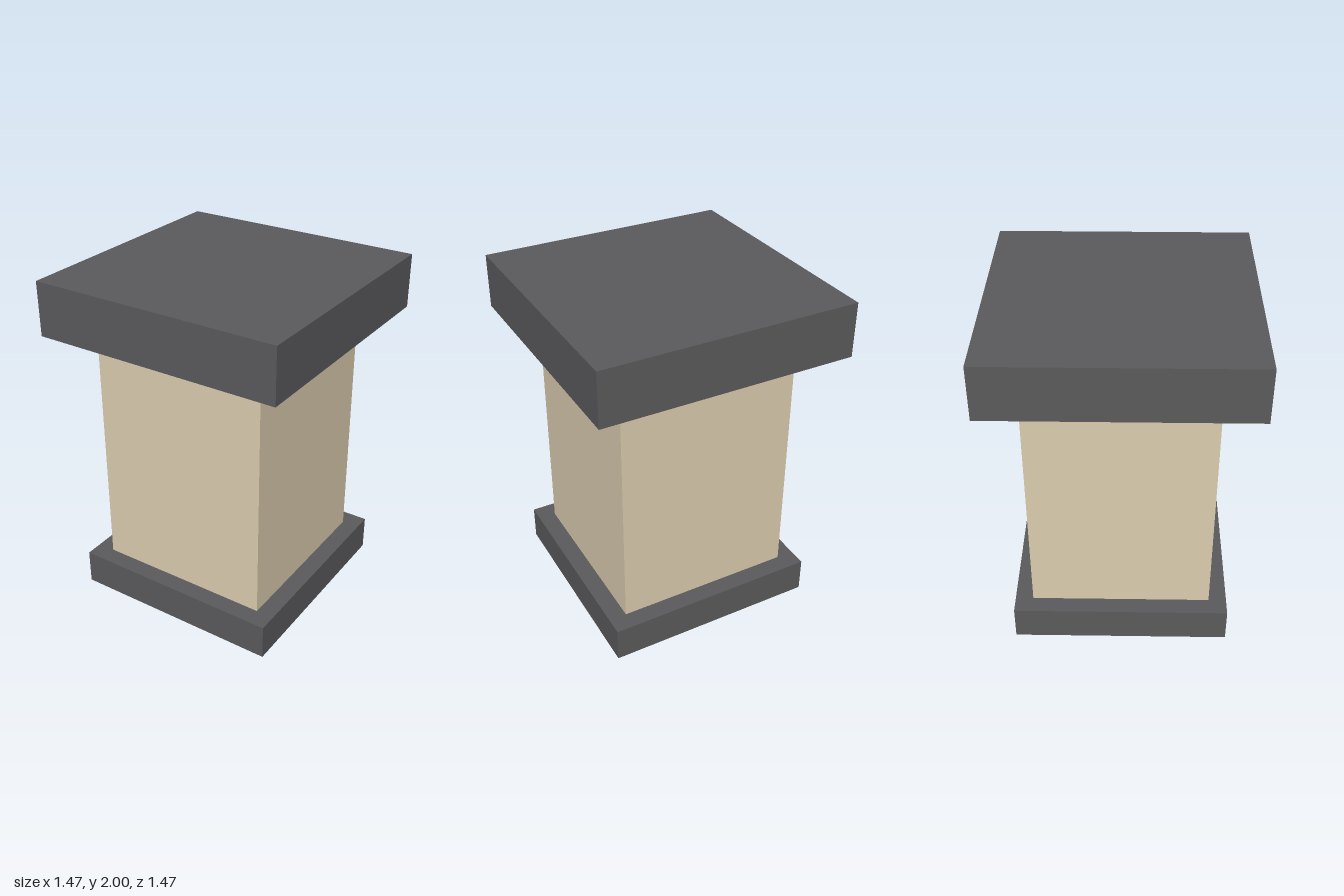
import * as THREE from 'three';

export function createModel() {
  const group = new THREE.Group();
  const dark = new THREE.MeshStandardMaterial({ color: 0x5b5b5d });
  const sand = new THREE.MeshStandardMaterial({ color: 0xdccdb0 });

  // Square block resting at height y
  function block(name, width, height, y, material) {
    const mesh = new THREE.Mesh(new THREE.BoxGeometry(width, height, width), material);
    mesh.name = name;
    mesh.position.y = y + height / 2;
    group.add(mesh);
  }

  // Proportions in units of 1/19: the whole pillar is 38 units tall
  const u = 1 / 19;
  block('base', 24 * u, 4 * u, 0, dark);
  block('shaft', 20 * u, 28 * u, 4 * u, sand);
  block('cap', 28 * u, 6 * u, 32 * u, dark);

  group.name = 'pillar';
  return group;
}
